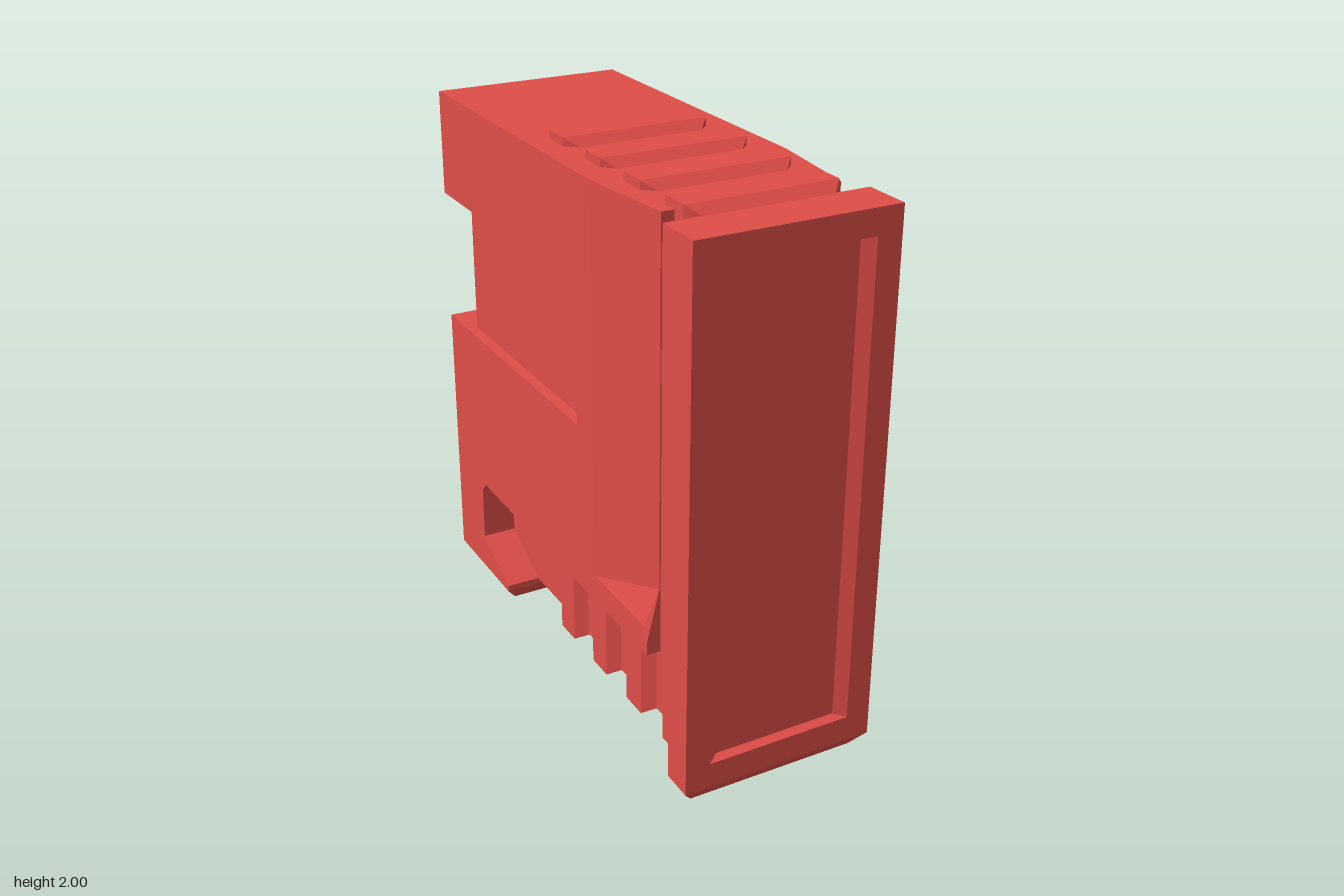
import * as THREE from 'three';
import { ConvexGeometry } from 'three/addons/geometries/ConvexGeometry.js';

const W = 0.36; // half width of the case

export function createModel() {
  const group = new THREE.Group();
  const material = new THREE.MeshStandardMaterial({ color: 0xdf4d47, flatShading: true });
  const add = (name, geometry) => {
    const mesh = new THREE.Mesh(geometry, material);
    mesh.name = name;
    group.add(mesh);
    return mesh;
  };
  const shapeOf = (pts) => new THREE.Shape(pts.map(([a, b]) => new THREE.Vector2(a, b)));
  const extrude = (shape, depth) => new THREE.ExtrudeGeometry(shape, { depth, bevelEnabled: false });

  // Side profile given as [z, y], extruded across the full width
  const acrossWidth = (pts) =>
    extrude(shapeOf(pts), 2 * W).rotateY(-Math.PI / 2).translate(W, 0, 0);

  // Half floor plan given as [x, z] from front to back, mirrored and extruded upwards
  const upFromPlan = (half, y0, y1) => {
    const mirrored = half.map(([x, z]) => [-x, z]).reverse();
    return extrude(shapeOf([...half, ...mirrored]), y1 - y0).rotateX(Math.PI / 2).translate(0, y1, 0);
  };

  // Convex solid from points on the +x side and their mirror images
  const mirroredHull = (pts) => new ConvexGeometry(
    pts.flatMap(([x, y, z]) => [new THREE.Vector3(x, y, z), new THREE.Vector3(-x, y, z)]));

  // Corners on the +x side of a box
  const corners = (x, y0, y1, z0, z1) =>
    [[x, y0, z0], [x, y0, z1], [x, y1, z0], [x, y1, z1]];

  // Main case: sides taper towards the front, a recessed band wraps round the rear
  const casePlan = [[0.315, 0.68], [W, 0.3], [W, -0.945]];
  const bandPlan = [[0.315, 0.68], [W, 0.3], [W, 0.18], [0.32, 0.18], [0.32, -0.78], [0.21, -0.9]];
  add('lowerCase', upFromPlan(casePlan, 0.55, 1.08));
  add('recessedBand', upFromPlan(bandPlan, 1.08, 1.58));
  add('upperCase', upFromPlan(casePlan, 1.58, 1.97));

  // Full-width skirt with small sloping ledges at its front corners
  add('skirt', mirroredHull([
    ...corners(W, 0.45, 0.55, -0.945, 0.29),
    [W, 0.45, 0.68], [W, 0.5, 0.68], [W, 0.55, 0.66], [0.315, 0.69, 0.68],
  ]));

  // Rear foot with a hooked front and a chamfered sole
  add('rearFoot', acrossWidth([
    [-0.945, 0.06], [-0.48, 0.06], [-0.48, 0.085], [-0.705, 0.2],
    [-0.705, 0.41], [-0.67, 0.45], [-0.945, 0.45],
  ]));
  const sole = (name, z0, z1, s0, s1) => add(name, mirroredHull([
    [W, 0.06, z0], [W, 0.06, z1], [0.315, 0, s0], [0.315, 0, s1],
  ]));
  sole('rearSole', -0.945, -0.48, -0.9, -0.525);

  // Narrow core joining the case and the front plate
  add('core', new THREE.BoxGeometry(0.46, 1.885, 1.58).translate(0, 1.0275, 0.04));

  // Chamfered ribs hooped round the core
  for (let i = 0; i < 4; i++) {
    const z = 0.68 - i * 0.267;
    add('rib', mirroredHull([
      ...corners(0.23, 0.083, 1.97, z - 0.095, z + 0.095),
      ...corners(0.27, 0.05, 2, z - 0.054, z + 0.054),
    ]));
  }

  // Front plate, thinner near the bottom
  add('frontPlate', acrossWidth([
    [0.825, 0.06], [0.915, 0.06], [0.915, 1.97], [0.77, 1.97], [0.77, 0.5], [0.825, 0.45],
  ]));
  sole('frontSole', 0.825, 0.945, 0.87, 0.9);

  // Front frame: the opening narrows towards its sunken panel
  const frame = shapeOf([[-W, 0.06], [W, 0.06], [W, 1.97], [-W, 1.97]]);
  frame.holes.push(new THREE.Path(
    [[-0.27, 0.155], [-0.27, 1.88], [0.27, 1.88], [0.27, 0.155]].map(([x, y]) => new THREE.Vector2(x, y))));
  const frameGeo = extrude(frame, 0.03);
  const pos = frameGeo.attributes.position;
  for (let i = 0; i < pos.count; i++) {
    const x = pos.getX(i), y = pos.getY(i);
    if (pos.getZ(i) < 0.015 && Math.abs(x) < 0.3) {
      pos.setXY(i, Math.sign(x) * 0.23, y > 1 ? 1.87 : 0.165);
    }
  }
  frameGeo.computeVertexNormals();
  add('frontFrame', frameGeo.translate(0, 0, 0.915));

  return group;
}
